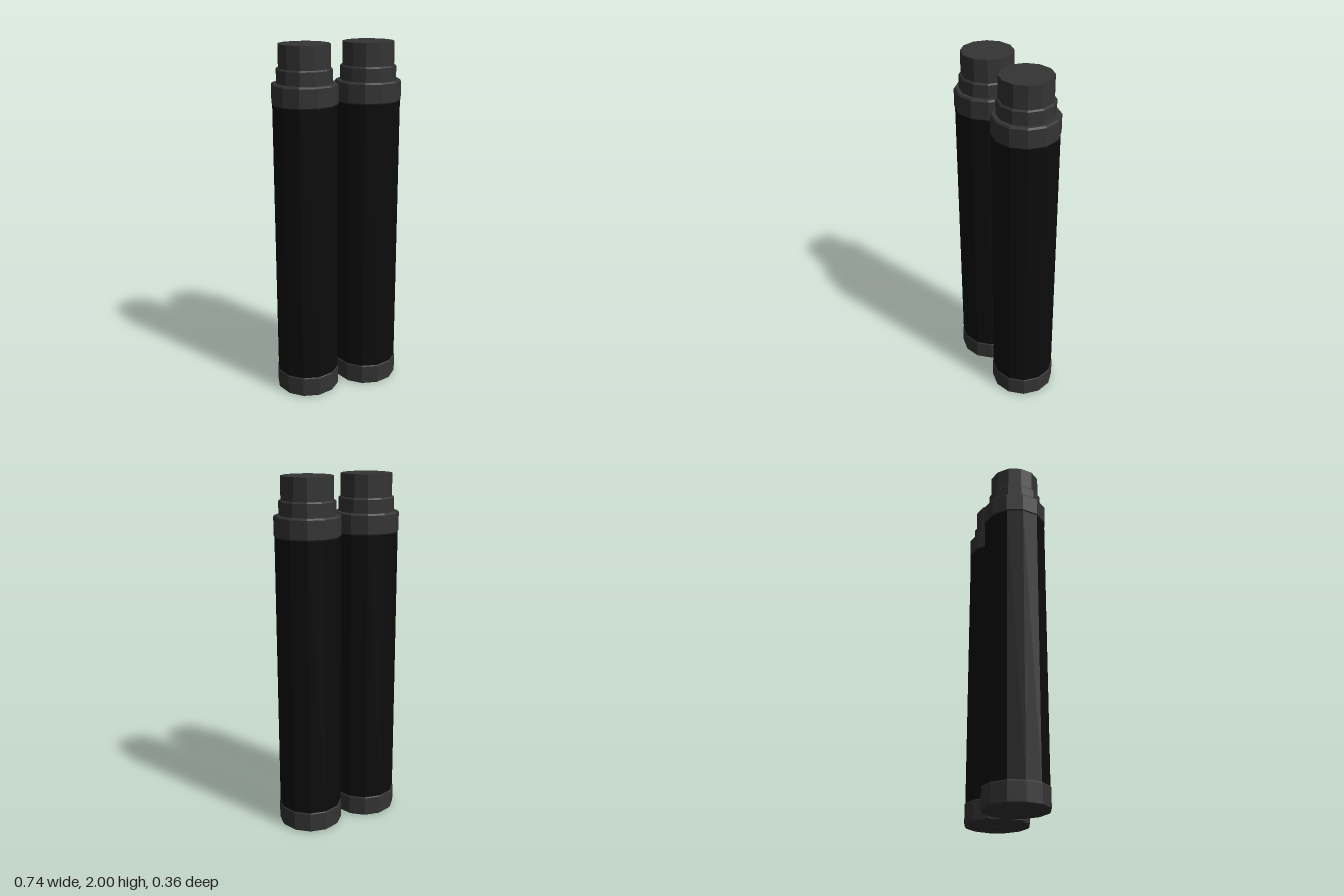
import * as THREE from 'three';

const SIDES = 12;

const capGrey = new THREE.MeshStandardMaterial({ color: 0x343434, flatShading: true });
capGrey.name = 'cap grey';
const bodyBlack = new THREE.MeshStandardMaterial({ color: 0x0c0c0c, flatShading: true });
bodyBlack.name = 'body black';

// Faceted turned part from [radius, height] pairs, listed bottom to top
function turned(name, profile, material) {
  const points = profile.map(([r, y]) => new THREE.Vector2(r, y));
  const mesh = new THREE.Mesh(new THREE.LatheGeometry(points, SIDES), material);
  mesh.name = name;
  return mesh;
}

function createTube(name, x) {
  const tube = new THREE.Group();
  tube.name = name;
  tube.position.x = x;

  // Bottom cap with bevelled rims and a small dimple underneath
  tube.add(turned('bottomCap', [
    [0, 0.012], [0.014, 0.012], [0.023, 0], [0.174, 0], [0.182, 0.008],
    [0.182, 0.112], [0.178, 0.118], [0.17, 0.118],
  ], capGrey));

  // Long dark barrel
  tube.add(turned('barrel', [[0.178, 0.11], [0.178, 1.69]], bodyBlack));

  // Upper ring, bevelled at both rims
  tube.add(turned('topRing', [
    [0.17, 1.68], [0.178, 1.68], [0.182, 1.686], [0.182, 1.786], [0.175, 1.795], [0.145, 1.795],
  ], capGrey));

  // Stepped collar
  tube.add(turned('collar', [
    [0.154, 1.79], [0.154, 1.867], [0.148, 1.875], [0.135, 1.875],
  ], capGrey));

  // Closed end plug
  tube.add(turned('endPlug', [[0.142, 1.87], [0.142, 2], [0, 2]], capGrey));
  return tube;
}

export function createModel() {
  const model = new THREE.Group();
  model.name = 'twinTubes';
  model.add(createTube('leftTube', 0.187), createTube('rightTube', -0.187));
  return model;
}
